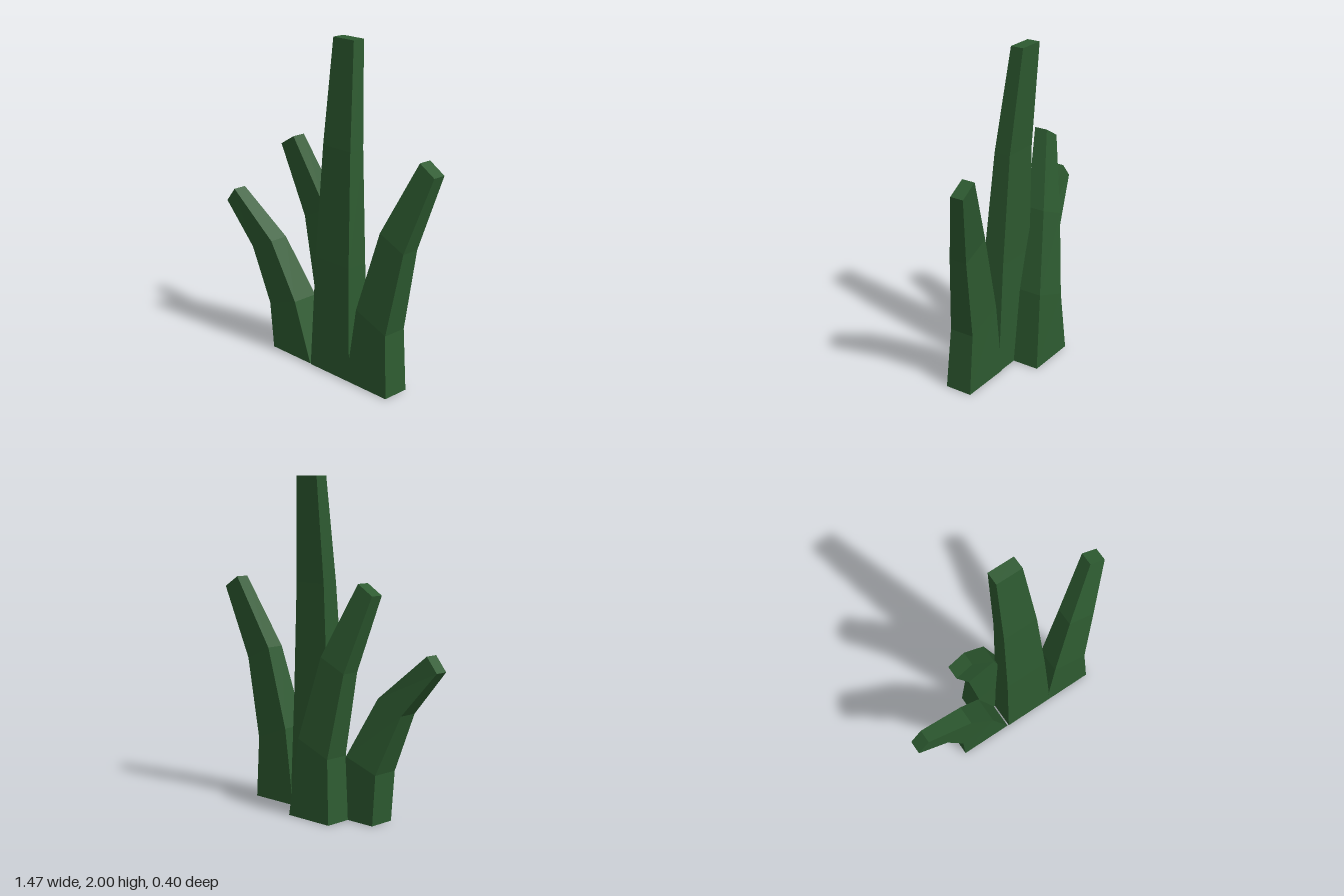
import * as THREE from 'three';

const material = new THREE.MeshStandardMaterial({ color: 0x2d5a30, flatShading: true });

// Lofts a four-sided blade through rings of [xLeft, yLeft, xRight, yRight, zFront, zBack], base first.
function blade(name, rings) {
  const corners = rings.map(([xl, yl, xr, yr, zf, zb]) => [
    [xl, yl, zf], [xr, yr, zf], [xr, yr, zb], [xl, yl, zb],
  ]);
  const positions = [];
  const quad = (a, b, c, d) => positions.push(...a, ...b, ...c, ...a, ...c, ...d);
  for (let i = 0; i < corners.length - 1; i++) {
    const low = corners[i], high = corners[i + 1];
    for (let j = 0; j < 4; j++) {
      const k = (j + 1) % 4;
      quad(low[j], low[k], high[k], high[j]);
    }
  }
  const base = corners[0], tip = corners[corners.length - 1];
  quad(base[3], base[2], base[1], base[0]);
  quad(...tip);
  const geometry = new THREE.BufferGeometry();
  geometry.setAttribute('position', new THREE.Float32BufferAttribute(positions, 3));
  geometry.computeVertexNormals();
  const mesh = new THREE.Mesh(geometry, material);
  mesh.name = name;
  return mesh;
}

export function createModel() {
  const group = new THREE.Group();
  group.name = 'grassTuft';

  // Tall upright blade, leaning slightly back
  const centerBlade = blade('centerBlade', [
    [-0.057, 0, 0.274, 0, 0.13, -0.035],
    [-0.045, 0.7, 0.232, 0.7, 0.095, -0.042],
    [-0.035, 1.38, 0.188, 1.38, 0.042, -0.062],
    [-0.03, 2, 0.134, 2, -0.035, -0.115],
  ]);

  // Medium blade bending to the left and back
  const mediumRings = [
    [0.25, 0, 0.573, 0, 0.13, -0.04],
    [0.31, 0.47, 0.545, 0.38, 0.11, -0.045],
    [0.435, 0.96, 0.617, 0.88, 0.05, -0.064],
    [0.628, 1.39, 0.735, 1.325, -0.057, -0.14],
  ];
  const leftBlade = blade('leftBlade', mediumRings);

  // The same blade turned half way round behind the tuft
  const backBlade = blade('backBlade', mediumRings);
  backBlade.rotation.y = Math.PI;
  backBlade.position.set(0.364, 0, -0.074);

  // Short blade bending to the right and forward
  const rightBlade = blade('rightBlade', [
    [-0.4, 0, -0.066, 0, 0.127, -0.038],
    [-0.415, 0.3, -0.185, 0.375, 0.14, -0.03],
    [-0.535, 0.65, -0.36, 0.73, 0.17, 0.05],
    [-0.738, 0.91, -0.665, 1.0, 0.198, 0.115],
  ]);

  group.add(centerBlade, leftBlade, backBlade, rightBlade);
  return group;
}
